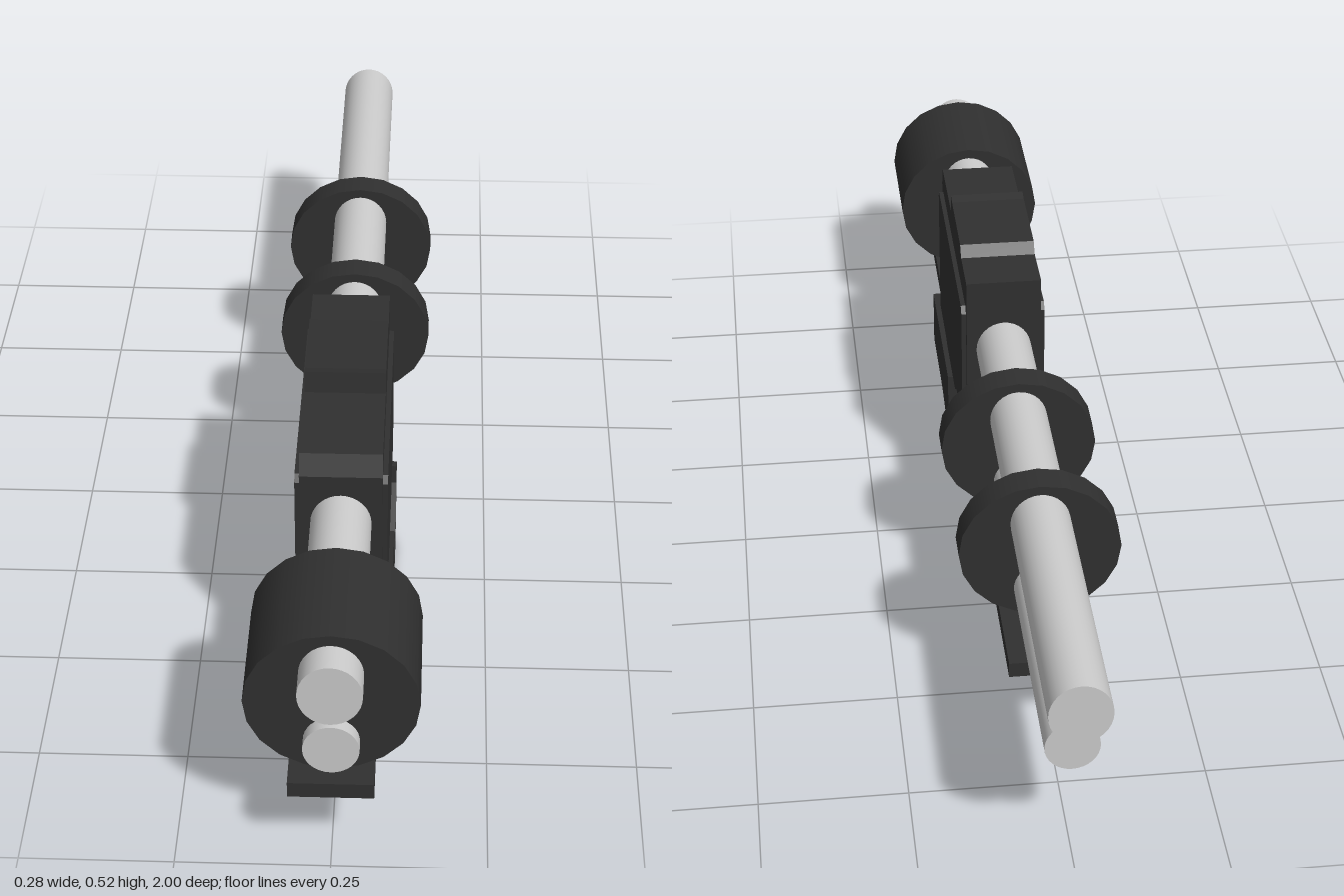
import * as THREE from 'three';

const dark = new THREE.MeshStandardMaterial({ color: 0x303030 });
const grey = new THREE.MeshStandardMaterial({ color: 0xcccccc });

export function createModel() {
  const model = new THREE.Group();

  const add = (name, geometry, material = dark) => {
    const mesh = new THREE.Mesh(geometry, material);
    mesh.name = name;
    model.add(mesh);
    return mesh;
  };

  // Side outline given as [z, y] points, extruded across x and centred on it
  const slab = (name, points, width, material, x = 0) => {
    const shape = new THREE.Shape(points.map(([z, y]) => new THREE.Vector2(z, y)));
    const geometry = new THREE.ExtrudeGeometry(shape, { depth: width, bevelEnabled: false });
    geometry.translate(0, 0, -width / 2).rotateY(-Math.PI / 2).translate(x, 0, 0);
    return add(name, geometry, material);
  };

  // Slightly elliptical cylinder lying along z
  const rod = (name, rx, ry, y, z0, z1, sides, material) => {
    const geometry = new THREE.CylinderGeometry(1, 1, z1 - z0, sides);
    geometry.rotateY(Math.PI / 2).rotateX(Math.PI / 2);
    geometry.scale(rx, ry, 1).translate(0, y, (z0 + z1) / 2);
    return add(name, geometry, material);
  };

  const box = (name, w, y0, y1, z0, z1) =>
    add(name, new THREE.BoxGeometry(w, y1 - y0, z1 - z0).translate(0, (y0 + y1) / 2, (z0 + z1) / 2));

  // Twin tubes
  rod('upperTube', 0.051, 0.056, 0.354, -1, 1, 32, grey);
  rod('lowerTube', 0.045, 0.046, 0.22, -0.915, 0.97, 32, grey);

  // Front drum and the two rear clamping rings
  rod('frontDrum', 0.139, 0.133, 0.296, 0.725, 0.947, 20, dark);
  for (const z of [-0.147, -0.467]) rod('clampRing', 0.139, 0.131, 0.296, z - 0.027, z + 0.027, 20, dark);

  // Long rail under everything
  box('rail', 0.137, 0.137, 0.165, -0.63, 0.987);

  // Stepped central housing
  slab('housing', [
    [0.558, 0.155], [0.558, 0.447], [0.542, 0.483], [0.365, 0.485], [0.36, 0.523],
    [0.34, 0.518], [0.18, 0.515], [0.163, 0.496], [0.066, 0.496], [0.066, 0.155],
  ], 0.138);

  // Raised side plates
  for (const side of [-1, 1]) {
    slab('sidePlate', [
      [0.545, 0.17], [0.545, 0.425], [0.535, 0.437], [0.09, 0.437], [0.078, 0.425],
      [0.078, 0.185], [0.2, 0.185], [0.23, 0.165], [0.4, 0.165], [0.42, 0.17],
    ], 0.012, dark, side * 0.0715);
  }

  // Lower block flowing into the open trigger guard
  slab('triggerGuard', [
    [0.628, 0.148], [0.628, 0.04], [0.48, 0.038], [0.43, 0.034], [0.387, 0.025], [0.34, 0.009],
    [0.31, 0.003], [0.15, 0.003], [0.137, 0.012], [0.09, 0.105], [0.086, 0.148],
    [0.102, 0.148], [0.104, 0.112], [0.15, 0.032], [0.302, 0.032], [0.302, 0.148],
  ], 0.17);

  // Catch and curved trigger inside the guard
  box('catch', 0.045, 0.06, 0.145, 0.23, 0.257);
  slab('trigger', [
    [0.205, 0.145], [0.2, 0.1], [0.204, 0.065], [0.215, 0.048],
    [0.202, 0.044], [0.19, 0.065], [0.185, 0.1], [0.188, 0.145],
  ], 0.03, grey);

  // Small peg hanging from the rear of the rail
  const peg = add('rearPeg', new THREE.CylinderGeometry(0.014, 0.014, 0.095, 16));
  peg.position.set(0, 0.0955, -0.397);

  return model;
}
